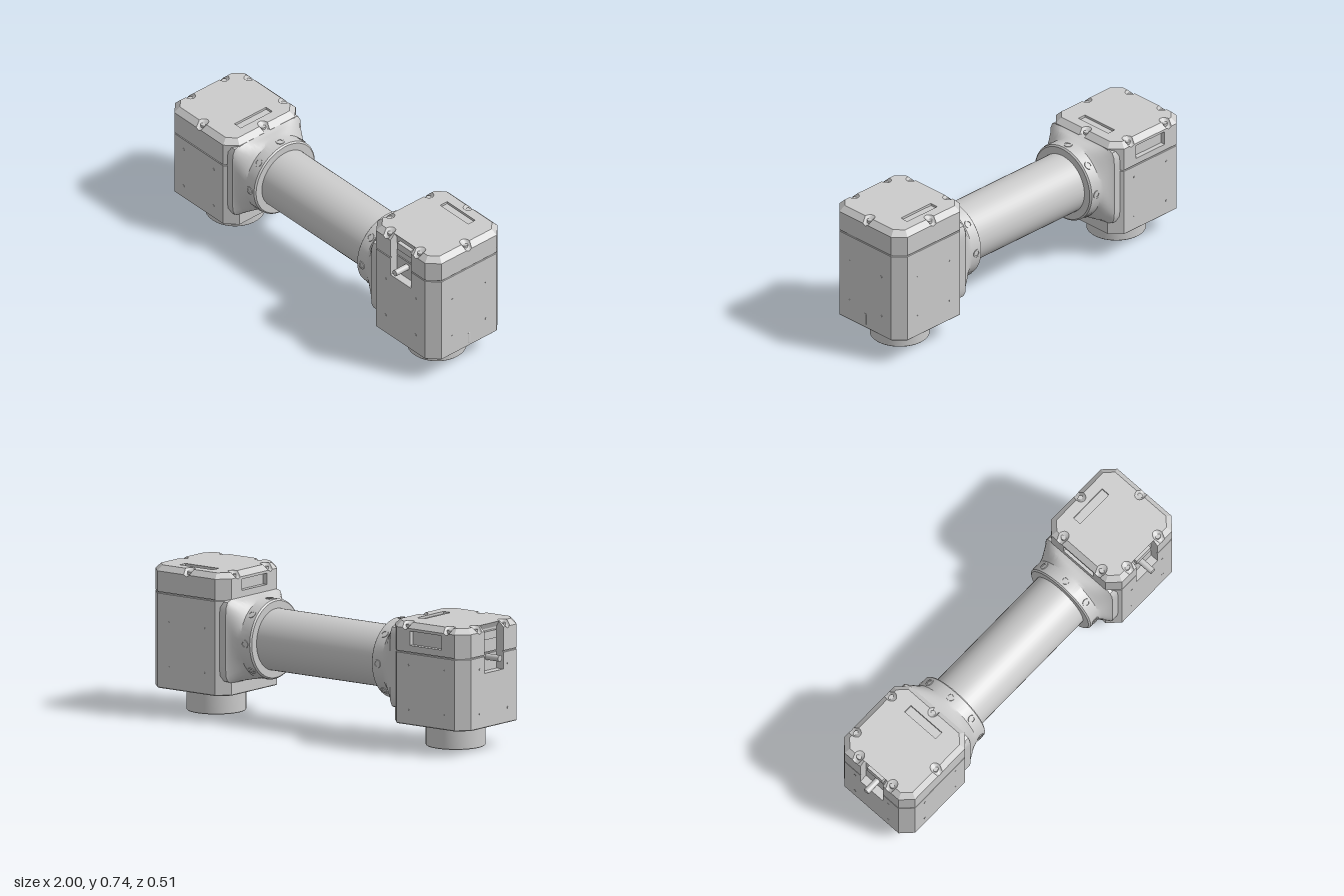
import * as THREE from 'three';
import { mergeGeometries, toCreasedNormals } from 'three/addons/utils/BufferGeometryUtils.js';

const material = new THREE.MeshStandardMaterial({ color: 0xcccccc });
const HALF = 0.2365, CHAMFER = 0.057, AXIS_Y = 0.4, AXIS_Z = -0.018;

function add(parent, name, geometry, x = 0, y = 0, z = 0) {
  const mesh = new THREE.Mesh(geometry, material);
  mesh.name = name;
  mesh.position.set(x, y, z);
  parent.add(mesh);
  return mesh;
}

// Flat cover for a ring, facing up or down, with an optional hole
function cover(ring, up, hole) {
  const s = up ? -1 : 1;
  const shape = new THREE.Shape(ring.map(p => new THREE.Vector2(p.x, s * p.z)));
  if (hole) shape.holes.push(new THREE.Path(hole.map(([x, z]) => new THREE.Vector2(x, s * z))));
  const g = new THREE.ShapeGeometry(shape).rotateX(s * Math.PI / 2).translate(0, ring[0].y, 0);
  g.deleteAttribute('uv');
  return g.toNonIndexed();
}

// Skin a stack of rings from bottom to top and close both ends
function loft(rings, crease, hole) {
  const pos = [], tri = new THREE.Triangle();
  const face = (a, b, c) => {
    tri.set(a, b, c);
    if (tri.getArea() > 1e-9) for (const p of [a, b, c]) pos.push(p.x, p.y, p.z);
  };
  for (let j = 0; j < rings.length - 1; j++) {
    const lo = rings[j], hi = rings[j + 1], n = lo.length;
    for (let i = 0; i < n; i++) {
      const k = (i + 1) % n;
      face(lo[i], lo[k], hi[k]);
      face(lo[i], hi[k], hi[i]);
    }
  }
  const side = new THREE.BufferGeometry();
  side.setAttribute('position', new THREE.Float32BufferAttribute(pos, 3));
  side.computeVertexNormals();
  const all = mergeGeometries([side, cover(rings[0], false), cover(rings.at(-1), true, hole)]);
  return toCreasedNormals(all, crease);
}

// Cut-outs along each side of the housing: front, +x, back, -x
const cuts = [
  [{ s: -0.11 }, { s: 0, w: 0.075, d: 0.042, type: 'recess' }, { s: 0.11 }],
  [{ s: 0 }],
  [{ s: 0 }],
  [{ s: -0.127 }, { s: 0, w: 0.098, d: 0.025, type: 'window' }, { s: 0.127 }],
];

// Point on side k: s along the side, d inward from the wall
function onSide(k, s, d, y) {
  const a = k * Math.PI / 2, r = HALF - d;
  return new THREE.Vector3(Math.sin(a) * r + Math.cos(a) * s, y, Math.cos(a) * r - Math.sin(a) * s);
}

// Chamfered square outline with its cut-outs opened by the given amounts
function outline({ y, inset = 0, recess = 0, window = 0, notch = 0 }) {
  const open = { recess, window }, pts = [];
  const end = HALF - CHAMFER - inset * 0.414;
  cuts.forEach((side, k) => {
    const put = (s, d) => pts.push(onSide(k, s, inset + d, y));
    put(-end, 0);
    for (const c of side) {
      if (c.type) {
        const d = c.d * open[c.type];
        put(c.s - c.w, 0); put(c.s - c.w, d); put(c.s + c.w, d); put(c.s + c.w, 0);
      } else {
        for (let i = 0; i <= 10; i++) {
          const a = i * Math.PI / 10;
          put(c.s - 0.026 * notch * Math.cos(a), 0.032 * notch * Math.sin(a));
        }
      }
    }
    put(end, 0);
  });
  return pts;
}

function createJoint(name, seam, top, holeRows, padSide) {
  const joint = new THREE.Group();
  joint.name = name;
  const base = 0.13, sill = top - 0.235;

  // Housing, seam and cover cap
  add(joint, 'housing', loft([
    { y: base, inset: 0.004 }, { y: base + 0.004 }, { y: sill }, { y: sill, recess: 1 },
    { y: seam - 0.006, recess: 1 }, { y: seam - 0.003, inset: 0.003, recess: 1 },
  ].map(outline), 0.4));
  add(joint, 'seam', loft([
    { y: seam - 0.004, inset: 0.006, recess: 1 }, { y: seam + 0.004, inset: 0.006, recess: 1 },
  ].map(outline), 0.4));
  const w0 = seam + 0.035, w1 = top - 0.04;
  const slot = [[-0.103, -0.157], [0.103, -0.157], [0.103, -0.112], [-0.103, -0.112]];
  add(joint, 'cap', loft([
    { y: seam + 0.002, recess: 1 }, { y: w0, recess: 1 }, { y: w0, recess: 1, window: 1 },
    { y: w1, recess: 1, window: 1 }, { y: w1, recess: 1 }, { y: top - 0.036, recess: 1 },
    { y: top - 0.027, recess: 1, notch: 0.65 }, { y: top, inset: 0.027, notch: 1 },
  ].map(outline), 0.4, slot));

  // Sunken label slot in the cap: a box seen from the inside
  const tray = add(joint, 'capSlot', new THREE.BoxGeometry(0.206, 0.012, 0.045), 0, top - 0.006, -0.1345);
  tray.material = new THREE.MeshStandardMaterial({ color: 0xcccccc, side: THREE.BackSide });

  // Cap screws in the edge notches
  cuts.forEach((side, k) => side.filter(c => !c.type).forEach(c => {
    const p = onSide(k, c.s, 0.034, top - 0.022);
    add(joint, 'capScrew', new THREE.CylinderGeometry(0.016, 0.016, 0.016, 16), p.x, p.y, p.z);
  }));

  // Connector and cable pin in the front recess
  add(joint, 'connector', new THREE.BoxGeometry(0.1, 0.04, 0.03), 0, top - 0.057, 0.2);
  add(joint, 'pin', new THREE.CylinderGeometry(0.016, 0.016, 0.09, 20).rotateX(Math.PI / 2), 0, top - 0.167, 0.23);

  // Small side screws
  for (let k = 0; k < 4; k++) {
    if (k === padSide) continue;
    for (const s of [-0.11, 0.11]) for (const y of holeRows) {
      const p = onSide(k, s, 0, y);
      const g = new THREE.CylinderGeometry(0.006, 0.006, 0.003, 12).rotateX(Math.PI / 2).rotateY(k * Math.PI / 2);
      add(joint, 'sideScrew', g, p.x, p.y, p.z);
    }
  }

  // Screws on the underside
  for (const x of [-0.165, 0.165]) for (const z of [-0.165, 0.165])
    add(joint, 'baseScrew', new THREE.CylinderGeometry(0.018, 0.018, 0.004, 16), x, base, z);

  // Output flange and its drilled face plate
  const profile = [[0, 0.03], [0.088, 0.03], [0.088, 0.01], [0.143, 0.01], [0.146, 0.013], [0.146, 0.132]];
  const flange = new THREE.LatheGeometry(profile.map(p => new THREE.Vector2(...p)), 48);
  add(joint, 'outputFlange', toCreasedNormals(flange, 0.5));
  const disc = new THREE.Shape().absarc(0, 0, 0.091, 0, Math.PI * 2);
  disc.holes.push(new THREE.Path().absarc(0, 0, 0.042, 0, Math.PI * 2, true));
  for (let i = 0; i < 6; i++) {
    const a = i * Math.PI / 3;
    disc.holes.push(new THREE.Path().absarc(0.067 * Math.cos(a), 0.067 * Math.sin(a), 0.009, 0, Math.PI * 2, true));
  }
  const plate = new THREE.ExtrudeGeometry(disc, { depth: 0.03, bevelEnabled: false, curveSegments: 20 });
  add(joint, 'outputPlate', plate.rotateX(-Math.PI / 2));
  return joint;
}

// Collar flaring from the round tube to a square pad, along +x
function createCollar(name) {
  const collar = new THREE.Group();
  collar.name = name;
  const levels = [ // along axis, vertical radius, depth radius, squareness
    [0, 0.21, 0.222, 10], [0.08, 0.21, 0.222, 10], [0.088, 0.206, 0.216, 7], [0.11, 0.203, 0.208, 4],
    [0.135, 0.201, 0.2, 2.4], [0.15, 0.199, 0.198, 2], [0.21, 0.198, 0.198, 2], [0.217, 0.19, 0.19, 2],
  ];
  const rings = levels.map(([y, ry, rz, n]) => Array.from({ length: 64 }, (_, i) => {
    const a = i * Math.PI / 32, c = Math.cos(a), s = Math.sin(a);
    const r = (Math.abs(c) ** n + Math.abs(s) ** n) ** (-1 / n);
    return new THREE.Vector3(ry * r * s, y, rz * r * c);
  }));
  add(collar, 'collarBody', loft(rings, 0.5).rotateZ(-Math.PI / 2));

  // Radial clamp screws
  for (let i = 0; i < 8; i++) {
    const a = i * Math.PI / 4;
    const screw = new THREE.LatheGeometry([[0.021, -0.02], [0.021, 0.003], [0.013, 0.003], [0.013, -0.005], [0, -0.005]]
      .map(p => new THREE.Vector2(...p)), 20);
    screw.translate(0, 0.198, 0).rotateX(a);
    add(collar, 'clampScrew', toCreasedNormals(screw, 0.5), 0.178, 0, 0);
  }
  return collar;
}

export function createModel() {
  const model = new THREE.Group();
  model.name = 'jointedArm';

  // Two joint units, the second turned a quarter
  const tall = createJoint('tallJoint', 0.606, 0.737, [0.24, 0.46], 3);
  tall.position.set(0.76, 0, AXIS_Z);
  const slotGroove = new THREE.CapsuleGeometry(0.008, 0.05, 4, 12).scale(0.25, 1, 1);
  add(tall, 'sideKey', slotGroove, HALF, 0.178, 0);
  const short = createJoint('shortJoint', 0.49, 0.636, [0.205, 0.425], 2);
  short.position.set(-0.725, 0, AXIS_Z);
  short.rotation.y = -Math.PI / 2;

  // Link tube with a collar at each end
  const tube = new THREE.CylinderGeometry(0.153, 0.153, 0.8, 48).rotateZ(Math.PI / 2);
  add(model, 'linkTube', tube, 0.0175, AXIS_Y, AXIS_Z);
  const near = createCollar('shortCollar');
  near.position.set(-0.572, AXIS_Y, AXIS_Z);
  const far = createCollar('tallCollar');
  far.position.set(0.607, AXIS_Y, AXIS_Z);
  far.rotation.y = Math.PI;

  model.add(tall, short, near, far);
  return model;
}
